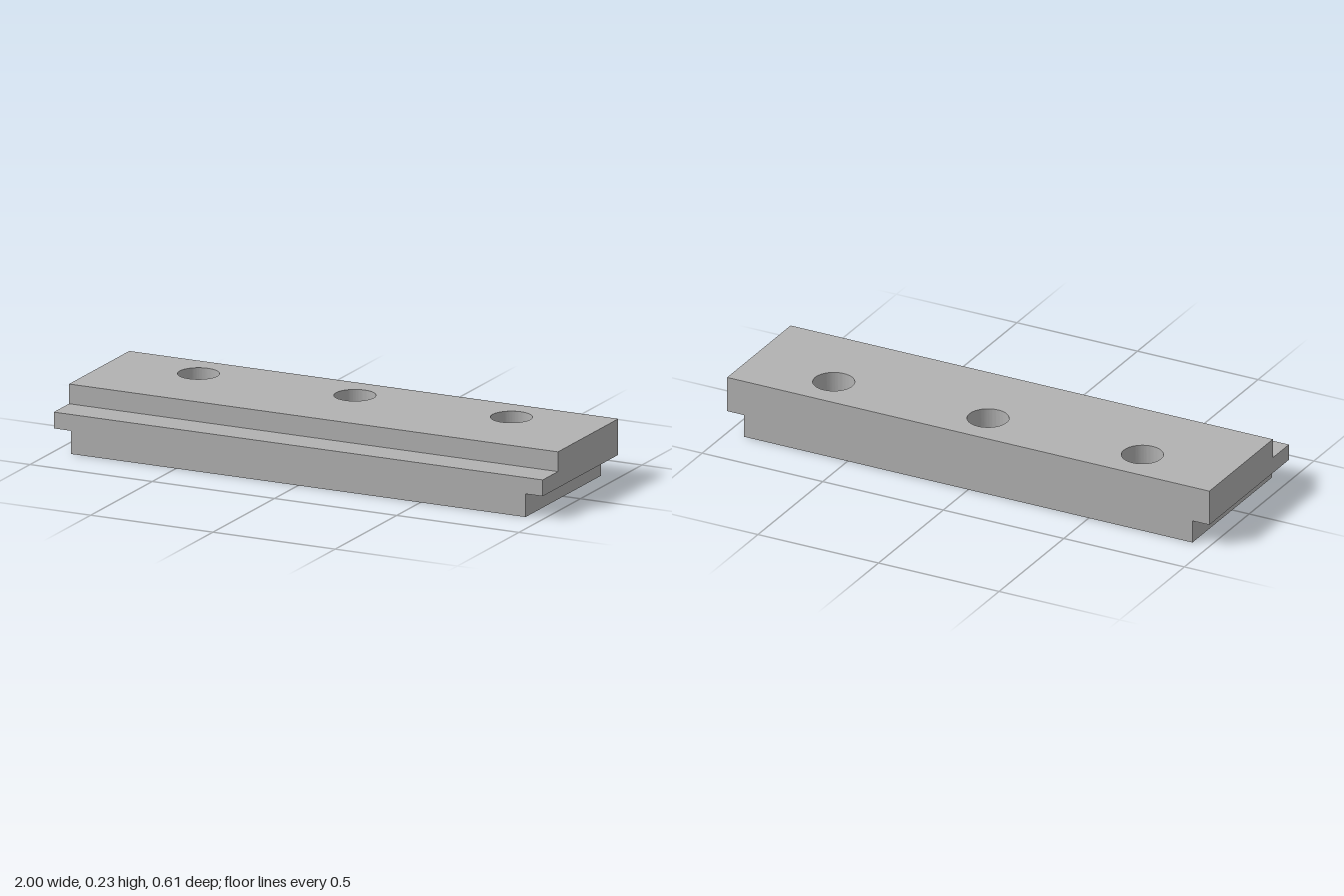
import * as THREE from 'three';
import { toCreasedNormals } from 'three/addons/utils/BufferGeometryUtils.js';

const BACK = -0.307, FRONT = 0.307, STEP = 0.183;
const HOLES_X = [-0.64, 0, 0.64], HOLE_Z = -0.154, HOLE_R = 0.077;

// Horizontal slab from y0 to y1, pierced by the three bolt holes
function slab(name, halfWidth, front, y0, y1, material) {
  const shape = new THREE.Shape([
    new THREE.Vector2(-halfWidth, -front),
    new THREE.Vector2(halfWidth, -front),
    new THREE.Vector2(halfWidth, -BACK),
    new THREE.Vector2(-halfWidth, -BACK),
  ]);
  for (const x of HOLES_X) {
    shape.holes.push(new THREE.Path().absarc(x, -HOLE_Z, HOLE_R, 0, Math.PI * 2, true));
  }
  const geometry = new THREE.ExtrudeGeometry(shape, {
    depth: y1 - y0, bevelEnabled: false, curveSegments: 48,
  });
  geometry.rotateX(-Math.PI / 2); // shape y becomes -z, depth becomes y
  geometry.translate(0, y0, 0);
  const mesh = new THREE.Mesh(toCreasedNormals(geometry, 0.5), material);
  mesh.name = name;
  return mesh;
}

export function createModel() {
  const grey = new THREE.MeshStandardMaterial({ color: 0xb2b2b2 });
  grey.name = 'grey';

  const model = new THREE.Group();
  model.name = 'steppedMountingBar';
  model.add(
    slab('narrowBase', 0.93, FRONT, 0, 0.088, grey), // recessed at both ends
    slab('frontLedge', 1, FRONT, 0.088, 0.15, grey), // full width and depth
    slab('raisedTop', 1, STEP, 0.15, 0.225, grey),   // set back from the front
  );
  return model;
}
